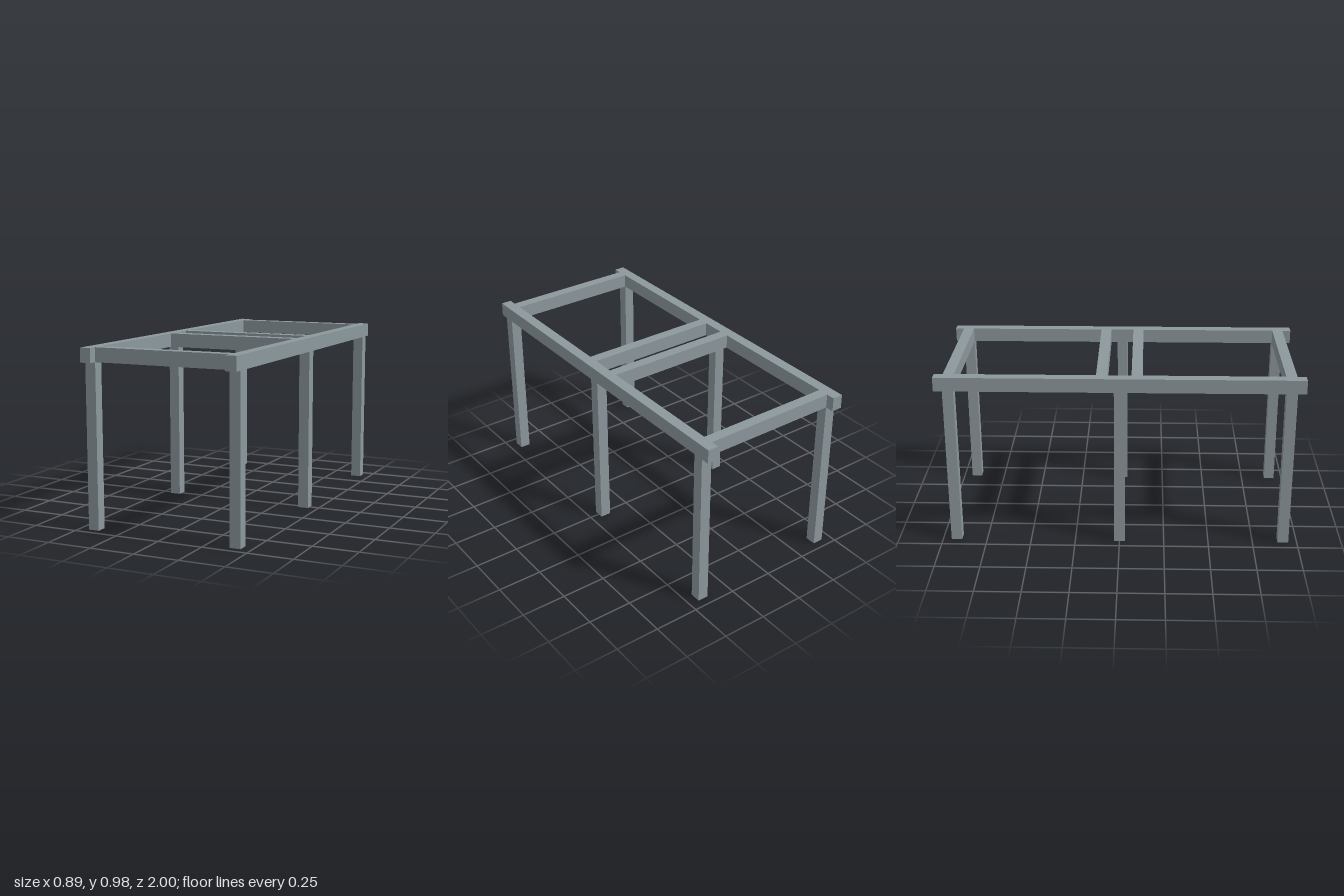
import * as THREE from 'three';

export function createModel() {
  const model = new THREE.Group();
  model.name = 'tableFrame';
  const steel = new THREE.MeshStandardMaterial({ color: 0x8c989d });
  steel.name = 'greySteel';

  const bar = 0.06;        // thickness of legs and rails
  const legHeight = 0.9;
  const railHeight = 0.078;
  const railX = 0.414;     // centre line of each long side
  const railY = legHeight + railHeight / 2;

  const addBox = (name, size, position) => {
    const mesh = new THREE.Mesh(new THREE.BoxGeometry(...size), steel);
    mesh.name = name;
    mesh.position.set(...position);
    model.add(mesh);
  };

  // Long side rails, each carried by three legs
  for (const [side, s] of [['left', 1], ['right', -1]]) {
    addBox(`${side}Rail`, [bar, railHeight, 2], [s * railX, railY, 0]);
    for (const [place, z] of [['Front', 0.922], ['Middle', 0], ['Back', -0.922]]) {
      addBox(`${side}${place}Leg`, [bar, legHeight, bar], [s * railX, legHeight / 2, z]);
    }
  }

  // Crossbars: one near each end and a pair around the middle
  const crossbars = [['front', 0.922], ['frontMiddle', 0.094], ['backMiddle', -0.097], ['back', -0.922]];
  for (const [place, z] of crossbars) {
    addBox(`${place}Crossbar`, [2 * railX - bar, railHeight, bar], [0, railY, z]);
  }
  return model;
}
